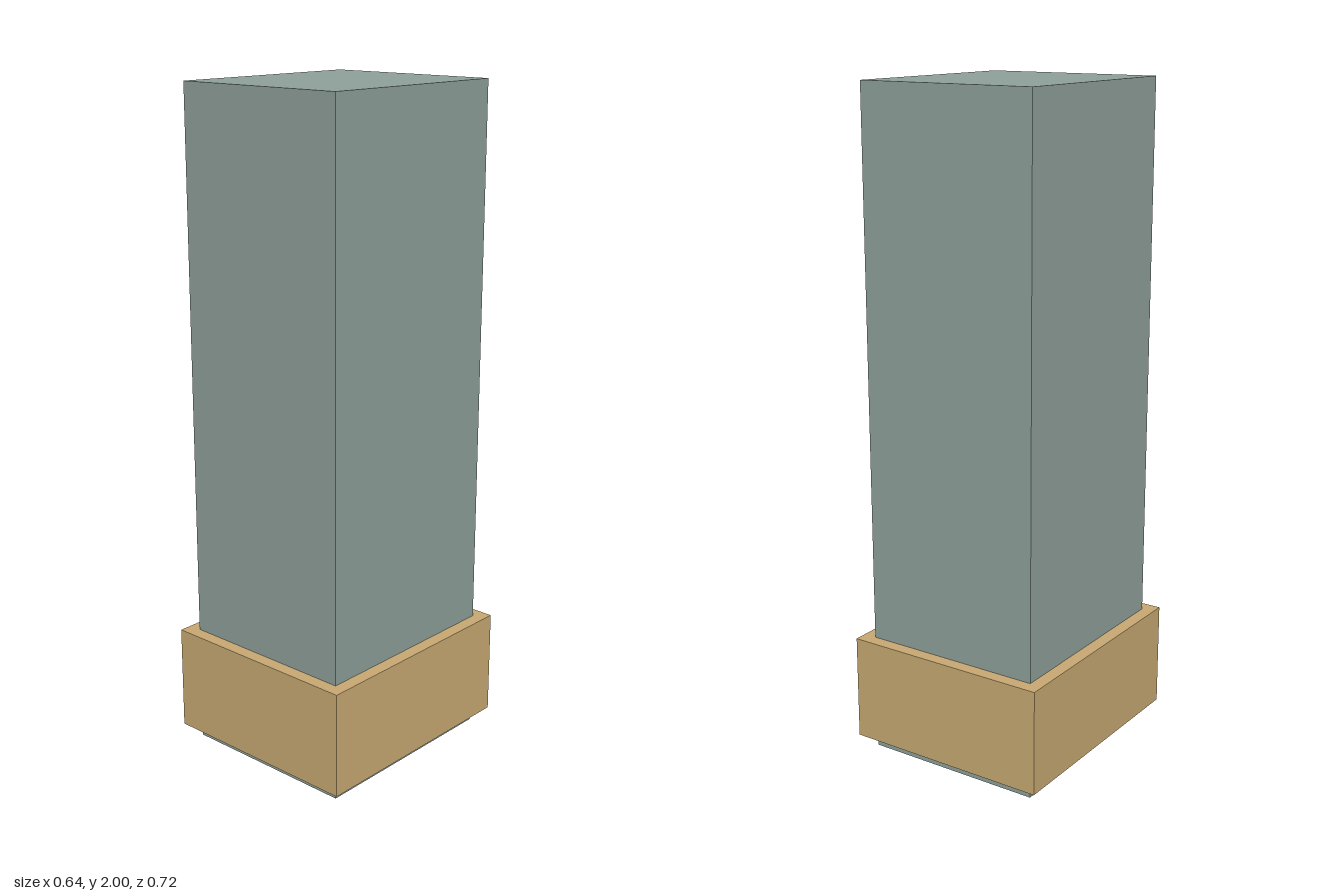
import * as THREE from 'three';

export function createModel() {
  const model = new THREE.Group();
  model.name = 'pillar';

  const greyGreen = new THREE.MeshStandardMaterial({ color: 0x8fa09a });
  greyGreen.name = 'greyGreen';
  const tan = new THREE.MeshStandardMaterial({ color: 0xc8a973 });
  tan.name = 'tan';

  // Box standing on a given base height
  function addBlock(name, width, height, depth, baseY, material) {
    const mesh = new THREE.Mesh(new THREE.BoxGeometry(width, height, depth), material);
    mesh.name = name;
    mesh.position.y = baseY + height / 2;
    model.add(mesh);
  }

  // Tall rectangular shaft
  addBlock('shaft', 0.56, 2, 0.64, 0, greyGreen);
  // Collar wrapped around the shaft just above its foot
  addBlock('collar', 0.64, 0.32, 0.72, 0.04, tan);

  return model;
}
